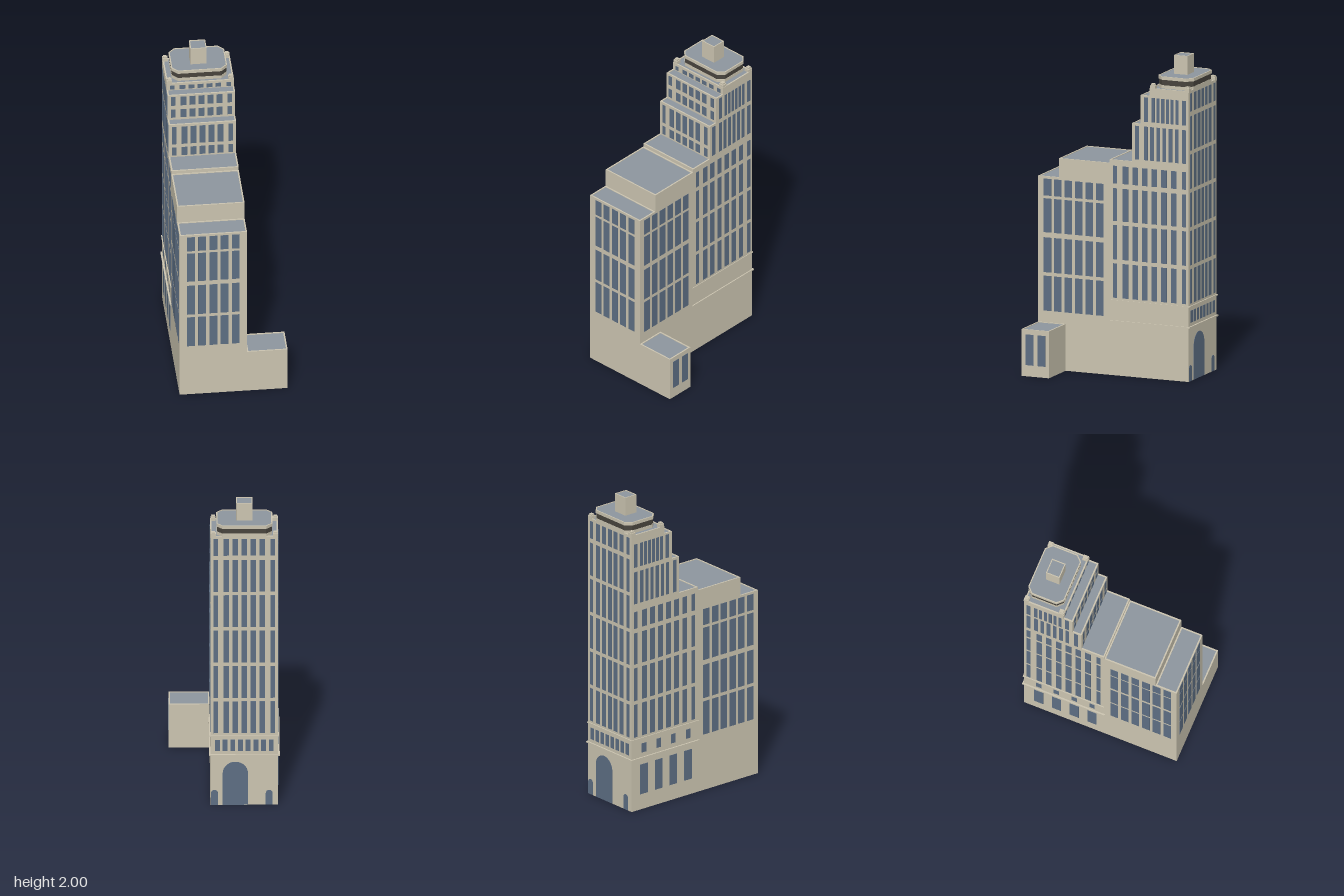
import * as THREE from 'three';

const mat = (name, color) => {
  const m = new THREE.MeshStandardMaterial({ color, side: THREE.DoubleSide });
  m.name = name;
  return m;
};

export function createModel() {
  const stone = mat('stone', 0xcbc4b0), glass = mat('glass', 0x5d6e83);
  const roofing = mat('roofing', 0x8d969e), dark = mat('darkBand', 0x48443d);
  const model = new THREE.Group();
  model.name = 'steppedTower';
  const X0 = -0.33, X1 = 0.085, BACK = -0.5, CX = (X0 + X1) / 2;

  const add = (name, geo, material, parent = model) => {
    const m = new THREE.Mesh(geo, material);
    m.name = name;
    parent.add(m);
    return m;
  };
  // Box from its limits; open underneath when asked
  const block = (name, x0, x1, y0, y1, z0, z1, material = stone, open = false) => {
    const g = new THREE.BoxGeometry(x1 - x0, y1 - y0, z1 - z0);
    if (open) {
      const idx = Array.from(g.index.array);
      idx.splice(18, 6);
      g.setIndex(idx);
      g.clearGroups();
    }
    g.translate((x0 + x1) / 2, (y0 + y1) / 2, (z0 + z1) / 2);
    return add(name, g, material);
  };
  // Raised rim around a grey roof
  const roof = (name, x0, x1, y, z0, z1, w = 0.009) => {
    const h = 0.007;
    for (const [a, b] of [[z0, z0 + w], [z1 - w, z1]]) block(name + 'Parapet', x0, x1, y - h, y, a, b);
    for (const [a, b] of [[x0, x0 + w], [x1 - w, x1]]) block(name + 'Parapet', a, b, y - h, y, z0 + w, z1 - w);
    block(name + 'Roof', x0 + w, x1 - w, y - h, y - 0.004, z0 + w, z1 - w, roofing);
  };
  const mass = (name, x0, x1, y0, y1, z0, z1) => {
    block(name, x0, x1, y0, y1 - 0.007, z0, z1, stone, true);
    roof(name, x0, x1, y1, z0, z1);
  };

  // Main masses
  mass('frontBlock', X0, X1, 0, 1.205, 0.37, 0.51);
  mass('middleBlock', X0, X1, 0, 1.325, 0.03, 0.37);
  mass('annex', X1, 0.335, 0, 0.293, 0.325, 0.51);
  block('towerBase', X0, X1, 0, 0.34, BACK, 0.03, stone, true);
  mass('towerShaft', X0, X1, 0.34, 1.347, BACK, 0.03);
  mass('lowerSetback', X0, X1, 1.34, 1.587, BACK, -0.12);
  mass('middleSetback', X0, X1, 1.58, 1.767, BACK, -0.178);
  mass('upperSetback', X0, X1, 1.76, 1.815, BACK, -0.238);

  // Cornices around the tower
  block('lowerCornice', X0 - 0.01, X1 + 0.007, 0.334, 0.343, BACK - 0.01, 0.037);
  block('upperCornice', X0 - 0.006, X1 + 0.004, 0.463, 0.471, BACK - 0.007, 0.034);

  // Glass panes: side is 'front', 'back', 'left' or 'right', u runs along the wall
  const T = 0.004;
  const windows = (name, side, plane, cols, rows) => {
    const g = new THREE.Group();
    g.name = name;
    const alongX = side === 'front' || side === 'back';
    for (const [u, w] of cols) for (const [y0, y1] of rows) {
      const geo = alongX ? new THREE.BoxGeometry(w, y1 - y0, T) : new THREE.BoxGeometry(T, y1 - y0, w);
      const y = (y0 + y1) / 2;
      if (alongX) geo.translate(u, y, plane);
      else geo.translate(plane, y, u);
      add('pane', geo, glass, g);
    }
    model.add(g);
  };
  const row = (n, a, b, w) => Array.from({ length: n }, (_, i) => [a + (b - a) * i / (n - 1), w]);

  // Front and back of the tower share one window grid
  const towerCols = [[CX - 0.174, 0.026], ...row(5, CX - 0.11, CX + 0.11, 0.036), [CX + 0.174, 0.026]];
  windows('lowerSetbackWindows', 'front', -0.12, towerCols, [[1.355, 1.415], [1.44, 1.57]]);
  windows('middleSetbackWindows', 'front', -0.178, towerCols, [[1.6, 1.66], [1.69, 1.755]]);
  windows('upperSetbackWindows', 'front', -0.238, towerCols, [[1.77, 1.798]]);
  const backRows = [0, 1, 2, 3, 4].map(i => [0.485 + 0.239 * i, 0.7 + 0.239 * i]);
  windows('backWindows', 'back', BACK, towerCols, [...backRows, [1.685, 1.798]]);
  windows('backBandWindows', 'back', BACK, row(8, CX - 0.165, CX + 0.165, 0.03), [[0.365, 0.44]]);

  // Front block
  const blockRows = [[0.365, 0.583], [0.605, 0.823], [0.855, 1.067], [1.085, 1.19]];
  windows('frontBlockWindows', 'front', 0.51, row(5, CX - 0.138, CX + 0.138, 0.048), blockRows);

  // Both long sides
  for (const [side, plane] of [['right', X0], ['left', X1]]) {
    windows(side + 'BlockWindows', side, plane, row(6, 0.097, 0.447, 0.05), blockRows);
    windows(side + 'TowerWindows', side, plane,
      [[-0.007, 0.026], ...row(6, -0.077, -0.4, 0.037), [-0.47, 0.026]],
      [[0.485, 0.7], [0.725, 0.94], [0.965, 1.17], [1.2, 1.31]]);
    windows(side + 'LowerSetbackWindows', side, plane,
      [[-0.155, 0.026], ...row(6, -0.214, -0.42, 0.024), [-0.47, 0.026]], [[1.362, 1.572]]);
    windows(side + 'MiddleSetbackWindows', side, plane,
      [[-0.215, 0.026], ...row(6, -0.263, -0.422, 0.02), [-0.47, 0.026]], [[1.602, 1.755]]);
  }

  // Street level windows
  const baseCols = row(4, -0.403, -0.05, 0.06);
  windows('rightBaseWindows', 'right', X0, baseCols, [[0.1, 0.295]]);
  windows('rightBandWindows', 'right', X0, baseCols.map(([u]) => [u, 0.035]), [[0.372, 0.432]]);
  windows('annexWindows', 'left', 0.335, [[0.455, 0.053], [0.376, 0.053]], [[0.07, 0.262]]);

  // Arched doors at the back
  const door = (name, x, w, h) => {
    const r = w / 2, s = new THREE.Shape();
    s.moveTo(-r, 0);
    s.lineTo(r, 0);
    s.lineTo(r, h - r);
    s.absarc(0, h - r, r, 0, Math.PI, false);
    const g = new THREE.ExtrudeGeometry(s, { depth: T, bevelEnabled: false, curveSegments: 12 });
    add(name, g, glass).position.set(x, 0.001, BACK - T / 2);
  };
  door('mainDoor', -0.068, 0.155, 0.29);
  door('sideDoor', 0.06, 0.042, 0.1);
  door('sideDoor', -0.275, 0.042, 0.1);

  // Chamfered crown
  const octagon = (inset, path = new THREE.Shape()) => {
    const x0 = -0.295 + inset, x1 = 0.048 - inset, z0 = -0.502 + inset, z1 = -0.263 - inset;
    const c = 0.037 - inset * 0.6;
    path.setFromPoints([[x0 + c, z0], [x1 - c, z0], [x1, z0 + c], [x1, z1 - c],
      [x1 - c, z1], [x0 + c, z1], [x0, z1 - c], [x0, z0 + c]].map(([x, z]) => new THREE.Vector2(x, -z)));
    return path;
  };
  const slab = (name, inset, y0, y1, material, hole) => {
    const s = octagon(inset);
    if (hole) s.holes.push(octagon(hole, new THREE.Path()));
    const g = new THREE.ExtrudeGeometry(s, { depth: y1 - y0, bevelEnabled: false });
    g.rotateX(-Math.PI / 2);
    g.translate(0, y0, 0);
    add(name, g, material);
  };
  slab('crownFoot', 0.002, 1.808, 1.832, stone);
  slab('crownBand', 0.004, 1.832, 1.866, dark);
  slab('crownCap', 0, 1.866, 1.88, stone);
  slab('crownRim', 0, 1.88, 1.886, stone, 0.007);
  slab('crownRoof', 0.007, 1.88, 1.883, roofing);

  // Corner pinnacles
  for (const x of [-0.314, 0.067]) for (const z of [-0.487, -0.256]) {
    block('pinnacle', x - 0.016, x + 0.016, 1.808, 1.832, z - 0.016, z + 0.016);
    block('pinnacleCap', x - 0.011, x + 0.011, 1.832, 1.842, z - 0.011, z + 0.011);
  }

  // Rooftop housing
  block('rooftopHousing', -0.174, -0.074, 1.88, 1.993, -0.42, -0.33);
  roof('rooftopHousing', -0.174, -0.074, 2, -0.42, -0.33, 0.006);
  return model;
}
